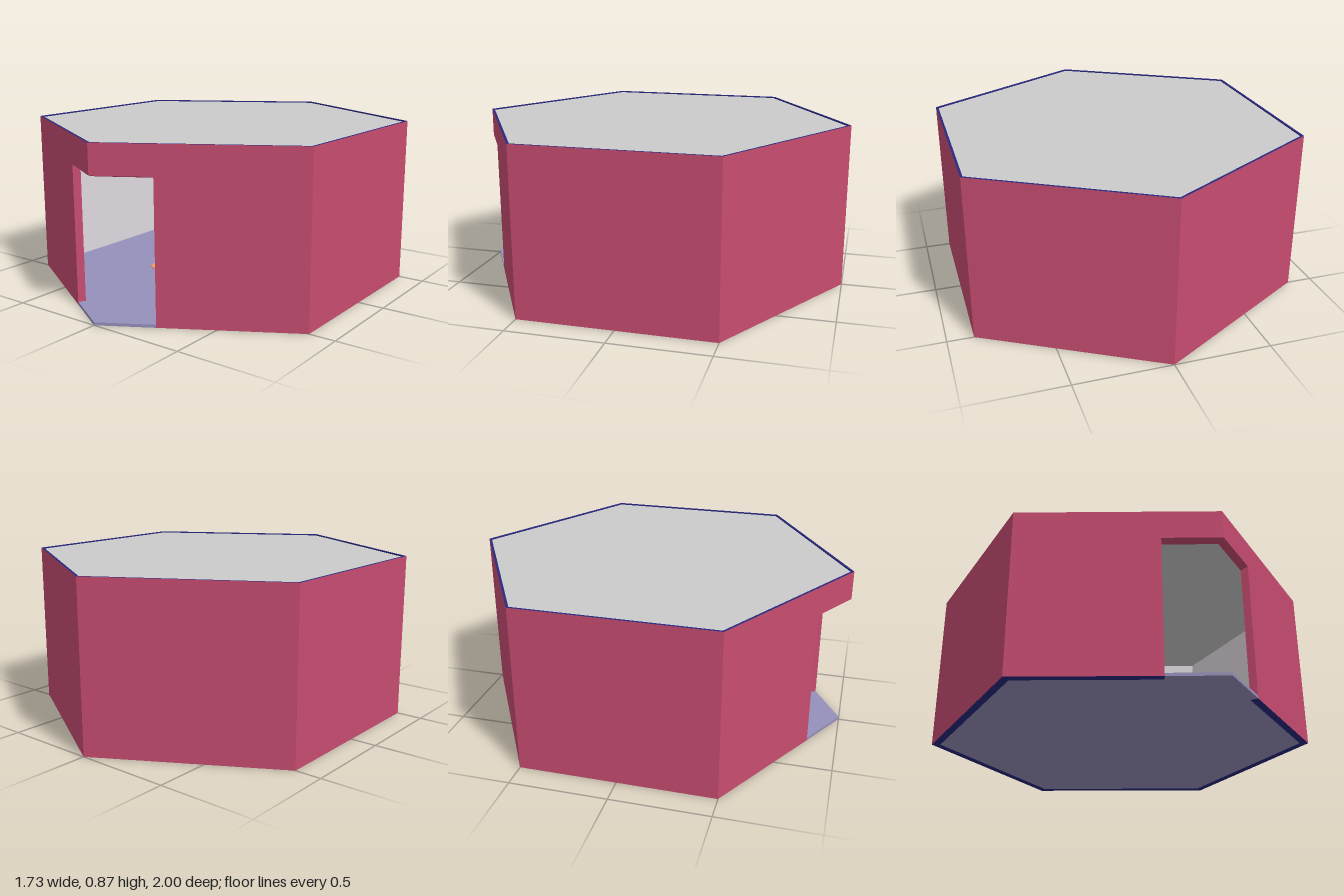
import * as THREE from 'three';

const H = 0.865;                       // wall height
const R = 1, RI = 0.955, RR = 0.986;   // outer, inner and roof radius of the hexagon
const FLOOR = 0.015, ROOF = 0.859, CEIL = 0.846;

const material = (color) => new THREE.MeshStandardMaterial({ color, flatShading: true });

// hexagon corner k as [x, z]; corner 0 points to the front
const corner = (k, r) => [r * Math.sin(k * Math.PI / 3), r * Math.cos(k * Math.PI / 3)];
// point on the front right wall of radius r at a given x
const onFront = (x, r) => [x, r - Math.abs(x) / Math.sqrt(3)];

// mesh from a list of quads, each with four corners [x, y, z]
function quadMesh(name, color, quads) {
  const pos = [];
  for (const [a, b, c, d] of quads) pos.push(...a, ...b, ...c, ...a, ...c, ...d);
  const geo = new THREE.BufferGeometry();
  geo.setAttribute('position', new THREE.Float32BufferAttribute(pos, 3));
  geo.computeVertexNormals();
  const mesh = new THREE.Mesh(geo, material(color));
  mesh.name = name;
  return mesh;
}

const at = ([x, z], y) => [x, y, z];
// upright strip facing outward when a to b runs counter-clockwise from above
const upright = (a, b, ya, yb) => [at(a, ya), at(b, ya), at(b, yb), at(a, yb)];
const mirror = (quad) => quad.map(([x, y, z]) => [-x, y, z]).reverse();

export function createModel() {
  const group = new THREE.Group();
  const outer = [], inner = [], reveal = [], rim = [];

  // one straight piece of wall between outer points a, b and inner points c, d
  function wall(a, b, c, d, yOut = 0, yIn = 0) {
    outer.push(upright(a, b, yOut, H));
    inner.push(upright(d, c, yIn, CEIL));
    if (yOut === 0) rim.push([at(c, 0), at(d, 0), at(b, 0), at(a, 0)]);
  }

  // four closed walls
  for (let k = 1; k < 5; k++) {
    wall(corner(k, R), corner(k + 1, R), corner(k, RI), corner(k + 1, RI));
  }

  // two front walls that share the corner doorway
  const doorOut = onFront(0.255, R), doorIn = onFront(0.235, RI);
  const tipOut = corner(0, R), tipIn = corner(0, RI);
  const topOut = 0.715, topIn = 0.704;
  const lists = [outer, inner, reveal, rim];
  const start = lists.map((l) => l.length);
  wall(doorOut, corner(1, R), doorIn, corner(1, RI));
  wall(tipOut, doorOut, tipIn, doorIn, topOut, topIn);
  reveal.push(
    [at(doorIn, 0), at(doorOut, 0), at(doorOut, topOut), at(doorIn, topIn)],
    [at(tipOut, topOut), at(tipIn, topIn), at(doorIn, topIn), at(doorOut, topOut)],
  );
  lists.forEach((l, i) => l.push(...l.slice(start[i]).map(mirror)));

  // top rim and its small inner step down to the roof
  for (let k = 0; k < 6; k++) {
    const a = corner(k, R), b = corner(k + 1, R), c = corner(k, RR), d = corner(k + 1, RR);
    rim.push([at(a, H), at(b, H), at(d, H), at(c, H)], upright(d, c, CEIL, H));
  }

  group.add(
    quadMesh('outerWalls', 0xc74c70, outer),
    quadMesh('innerWalls', 0xe0dae0, inner),
    quadMesh('doorReveal', 0xc74c70, reveal),
    quadMesh('wallRim', 0x28287f, rim),
  );
  group.getObjectByName('doorReveal').material.side = THREE.DoubleSide;

  // floor slab, reaching out through the doorway
  const flip = ([x, z]) => [-x, z];
  const outline = [tipOut, doorOut, doorIn];
  for (let k = 1; k < 6; k++) outline.push(corner(k, RI));
  outline.push(flip(doorIn), flip(doorOut));
  const shape = new THREE.Shape(outline.map(([x, z]) => new THREE.Vector2(x, -z)));
  const floorGeo = new THREE.ExtrudeGeometry(shape, { depth: FLOOR, bevelEnabled: false });
  floorGeo.rotateX(-Math.PI / 2);
  const floor = new THREE.Mesh(floorGeo, material(0x9690ba));
  floor.name = 'floor';
  group.add(floor);

  // hexagonal plates: roof and floor inlay
  const plate = (name, color, r, y0, y1) => {
    const mesh = new THREE.Mesh(new THREE.CylinderGeometry(r, r, y1 - y0, 6), material(color));
    mesh.position.y = (y0 + y1) / 2;
    mesh.name = name;
    group.add(mesh);
  };
  plate('roof', 0xcccccc, RR, CEIL, ROOF);
  plate('floorInlay', 0xe6996c, 0.4, FLOOR - 0.005, FLOOR + 0.004);

  return group;
}
